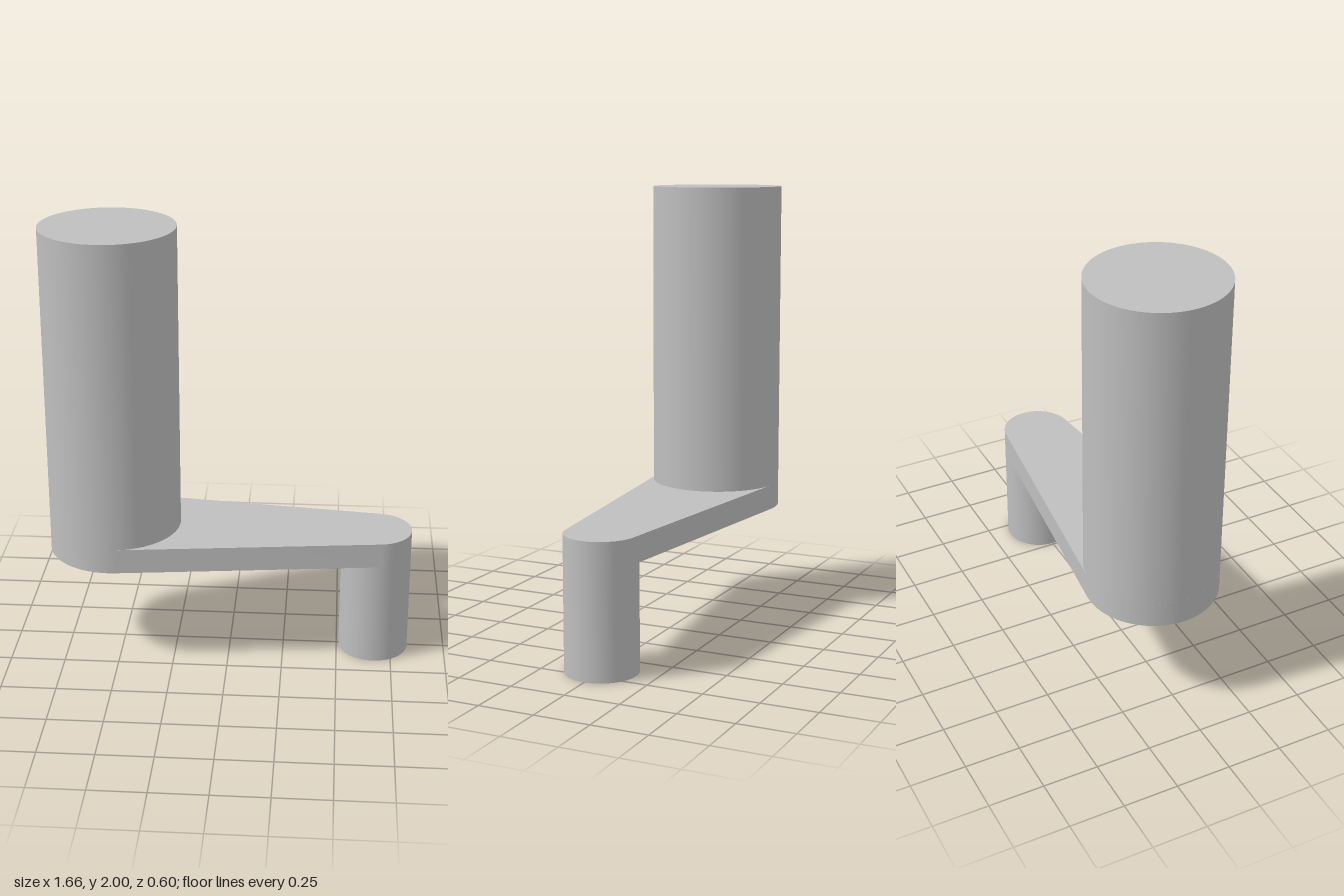
import * as THREE from 'three';
import { toCreasedNormals } from 'three/addons/utils/BufferGeometryUtils.js';

const GRIP = { x: -0.53, r: 0.3 };
const PEG = { x: 0.67, r: 0.16 };
const ARM_BOTTOM = 0.485, ARM_TOP = 0.6, TOP = 2;

export function createModel() {
  const group = new THREE.Group();
  group.name = 'crankHandle';
  const metal = new THREE.MeshStandardMaterial({ color: 0xbfbfbf });
  metal.name = 'grey';

  // Extrudes a plan outline upward between two heights
  function addPrism(name, shape, y0, y1) {
    let geo = new THREE.ExtrudeGeometry(shape, { depth: y1 - y0, bevelEnabled: false, curveSegments: 48 });
    geo.rotateX(-Math.PI / 2);
    geo.translate(0, y0, 0);
    geo = toCreasedNormals(geo, 0.5);
    const mesh = new THREE.Mesh(geo, metal);
    mesh.name = name;
    group.add(mesh);
  }

  const disc = ({ x, r }) => new THREE.Shape().absarc(x, 0, r, 0, Math.PI * 2, false);

  // Tall round grip
  addPrism('grip', disc(GRIP), ARM_TOP, TOP);

  // Tapered arm: two end arcs joined by their common tangents
  const t = Math.acos((GRIP.r - PEG.r) / (PEG.x - GRIP.x));
  const arm = new THREE.Shape();
  arm.absarc(GRIP.x, 0, GRIP.r, t, Math.PI * 2 - t, false);
  arm.absarc(PEG.x, 0, PEG.r, -t, t, false);
  arm.closePath();
  addPrism('arm', arm, ARM_BOTTOM, ARM_TOP);

  // Shaft socket with a D-shaped bore, flat towards the grip
  const socket = disc(PEG);
  const boreRadius = 0.12, a = Math.acos(-0.067 / boreRadius);
  const bore = new THREE.Path();
  bore.absarc(PEG.x, 0, boreRadius, -a, a, false);
  bore.closePath();
  socket.holes.push(bore);
  addPrism('socket', socket, 0, ARM_BOTTOM);

  return group;
}
